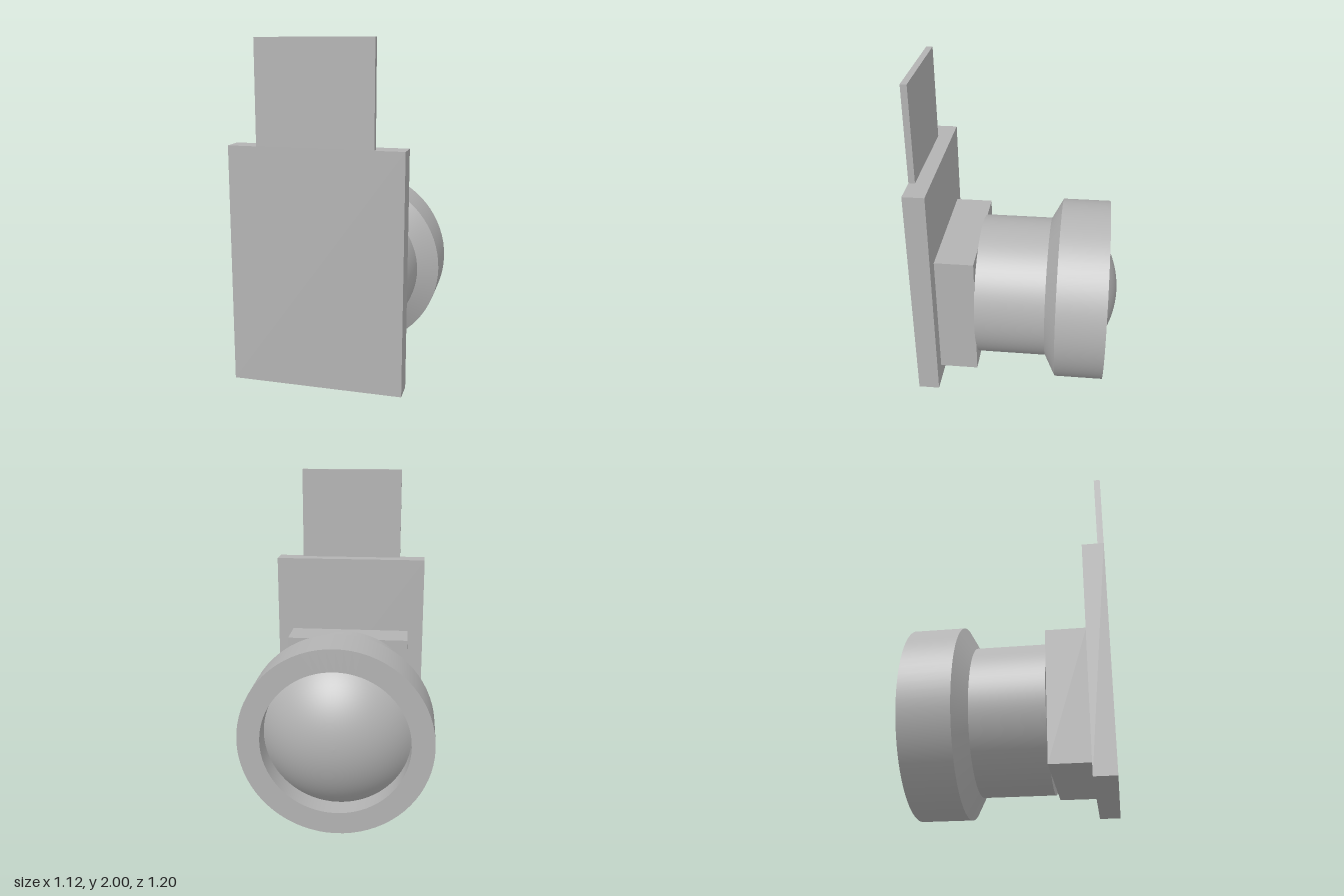
import * as THREE from 'three';

export function createModel() {
  const model = new THREE.Group();
  model.name = 'cameraModule';
  const grey = new THREE.MeshStandardMaterial({ color: 0xb3b3b3 });
  grey.name = 'grey';

  // Box given by half width, y range and z range
  const box = (name, hw, y0, y1, z0, z1) => {
    const mesh = new THREE.Mesh(new THREE.BoxGeometry(hw * 2, y1 - y0, z1 - z0), grey);
    mesh.position.set(0, (y0 + y1) / 2, (z0 + z1) / 2);
    mesh.name = name;
    model.add(mesh);
  };
  box('connectorTab', 0.323, 1.43, 2, 0.563, 0.6);
  box('circuitBoard', 0.485, 0.08, 1.43, 0.475, 0.6);
  box('lensMount', 0.387, 0.18, 0.95, 0.245, 0.475);

  // Lens turned about its axis, pointing to the back
  const lens = new THREE.Group();
  lens.name = 'lens';
  lens.position.y = 0.564;
  lens.rotation.x = -Math.PI / 2;
  model.add(lens);

  // Each surface is its own lathe, so edges between them stay sharp
  const turn = (name, points) => {
    const profile = points.map(([r, h]) => new THREE.Vector2(r, h));
    const mesh = new THREE.Mesh(new THREE.LatheGeometry(profile, 72), grey);
    mesh.name = name;
    lens.add(mesh);
  };
  turn('barrelBase', [[0, -0.245], [0.437, -0.245]]);
  turn('barrel', [[0.437, -0.245], [0.437, 0.172]]);
  turn('barrelFlare', [[0.437, 0.172], [0.562, 0.24]]);
  turn('rim', [[0.562, 0.24], [0.562, 0.533]]);
  turn('rimFace', [[0.562, 0.533], [0.43, 0.533]]);
  turn('recessWall', [[0.43, 0.533], [0.43, 0.4]]);

  // Domed glass, a spherical cap set inside the recess
  const R = 0.565, a0 = Math.asin(0.43 / R), dome = [];
  for (let i = 0; i <= 16; i++) {
    const a = a0 * (1 - i / 16);
    dome.push([R * Math.sin(a), 0.6 - R + R * Math.cos(a)]);
  }
  turn('domeGlass', dome);

  return model;
}
